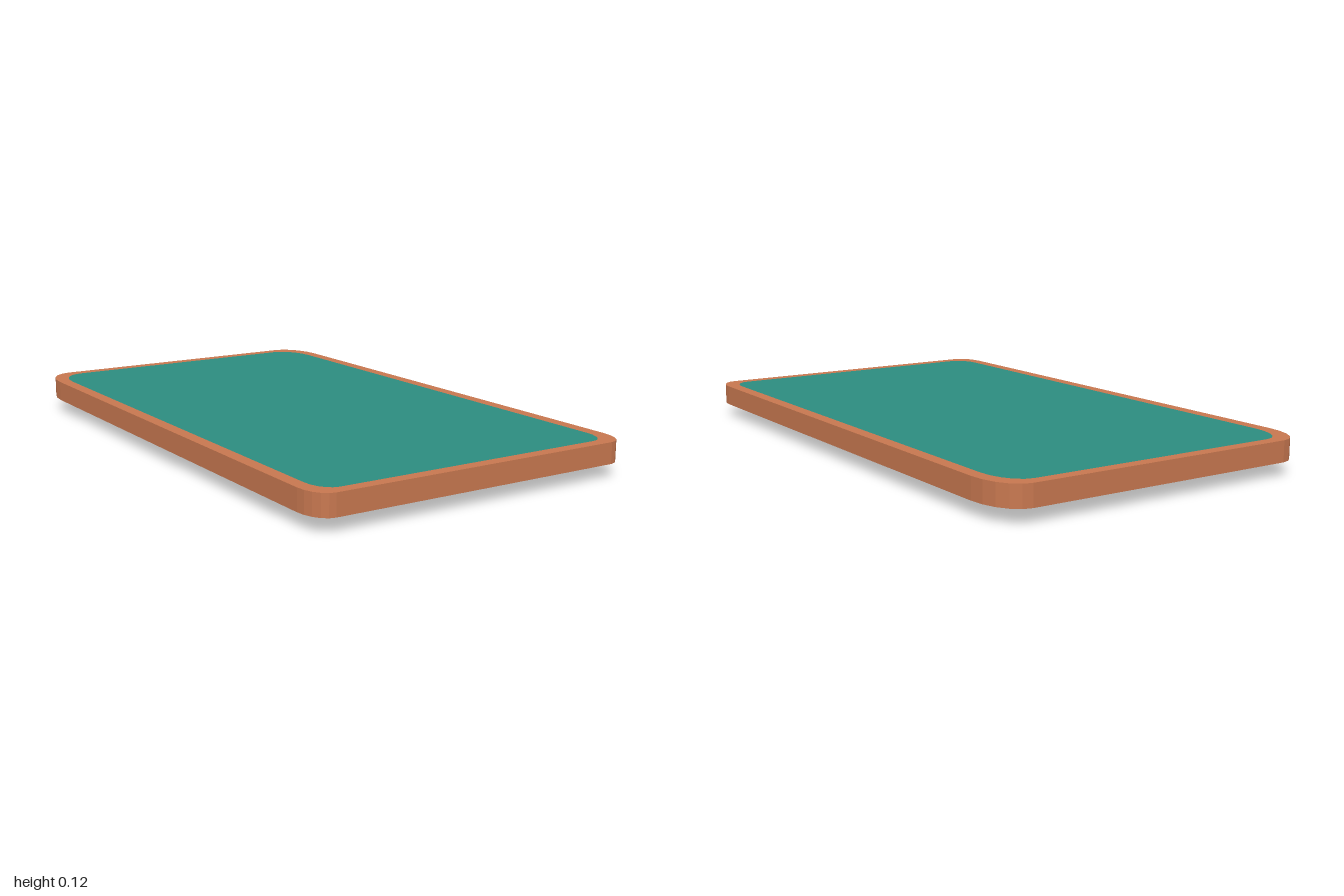
import * as THREE from 'three';

const SEG = 5; // facets per rounded corner

// Rounded rectangle loop at height y; back corners are softer than front ones.
function outline(y, halfW, halfL, front, back) {
  const pts = [];
  const corners = [[1, 1, front], [-1, 1, front], [-1, -1, back], [1, -1, back]];
  corners.forEach(([sx, sz, [rx, rz]], k) => {
    for (let i = 0; i <= SEG; i++) {
      const a = (k + i / SEG) * Math.PI / 2;
      pts.push(new THREE.Vector3(
        sx * (halfW - rx) + rx * Math.cos(a), y,
        sz * (halfL - rz) + rz * Math.sin(a)));
    }
  });
  return pts;
}

const scaled = (loop, s, y) => loop.map(p => new THREE.Vector3(p.x * s, y, p.z * s));

// Skin successive loops with faceted quads, facing outward from bottom to top.
function loft(name, loops, material) {
  const pos = [];
  for (let r = 0; r < loops.length - 1; r++) {
    const a = loops[r], b = loops[r + 1];
    for (let i = 0; i < a.length; i++) {
      const j = (i + 1) % a.length;
      for (const [p, q, s] of [[a[i], b[i], a[j]], [a[j], b[i], b[j]]]) {
        const area = q.clone().sub(p).cross(s.clone().sub(p)).length();
        if (area > 1e-9) pos.push(...p.toArray(), ...q.toArray(), ...s.toArray());
      }
    }
  }
  const g = new THREE.BufferGeometry();
  g.setAttribute('position', new THREE.Float32BufferAttribute(pos, 3));
  g.computeVertexNormals();
  const mesh = new THREE.Mesh(g, material);
  mesh.name = name;
  return mesh;
}

export function createModel() {
  const terracotta = new THREE.MeshStandardMaterial({ color: 0xc87850 });
  terracotta.name = 'terracotta';
  const teal = new THREE.MeshStandardMaterial({ color: 0x2d8d80 });
  teal.name = 'teal';

  const TOP = 0.12, SHELF = 0.048;
  const rimLow = outline(SHELF, 0.59, 1, [0.065, 0.1], [0.1, 0.16]);
  const rimTop = scaled(rimLow, 1, TOP);
  const panelEdge = outline(TOP, 0.546, 0.958, [0.06, 0.09], [0.09, 0.14]);

  const model = new THREE.Group();
  model.name = 'tray';
  // Tapered underside: flat foot, sloped flanks, narrow shelf
  model.add(loft('underside', [
    scaled(rimLow, 0, 0), scaled(rimLow, 0.66, 0), scaled(rimLow, 0.9, SHELF), rimLow,
  ], terracotta));
  // Side wall and top border
  model.add(loft('rim', [rimLow, rimTop, panelEdge], terracotta));
  // Inlaid top surface
  model.add(loft('topPanel', [panelEdge, scaled(panelEdge, 0, TOP)], teal));
  return model;
}
